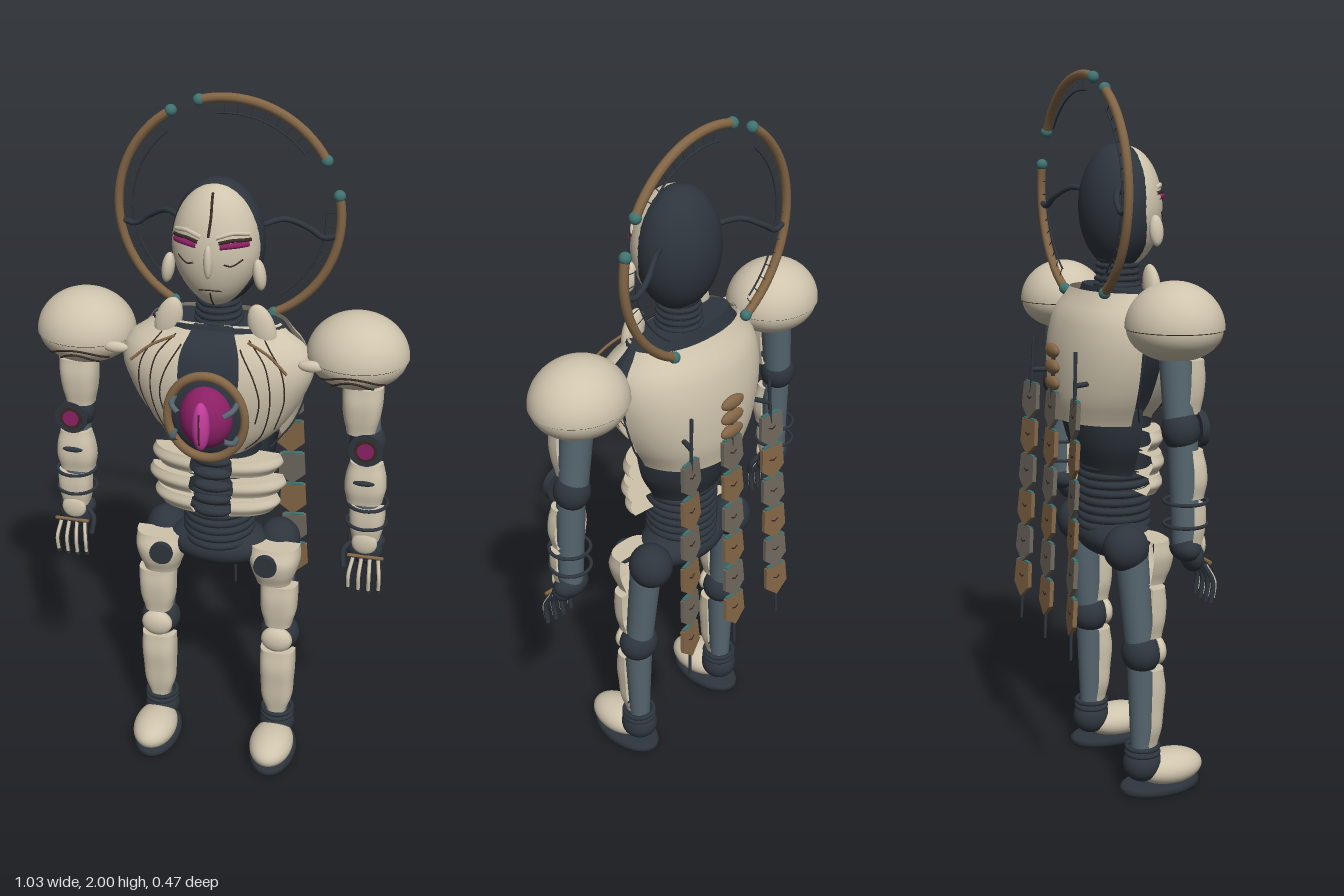
import * as THREE from 'three';

const mat = (name, color, side = THREE.FrontSide) => {
  const m = new THREE.MeshStandardMaterial({ color, side });
  m.name = name;
  return m;
};
const ivory = mat('ivory', 0xcfc4ad, THREE.DoubleSide);
const dark = mat('charcoal', 0x2e353d, THREE.DoubleSide);
const steel = mat('steel', 0x56666f);
const bronze = mat('bronze', 0x836646);
const taupe = mat('taupe', 0x6e675c);
const magenta = mat('magenta', 0x8c2065);
const pink = mat('pink', 0xc43c9c);
const teal = mat('teal', 0x3f7270);
const seam = mat('seam', 0x3a2a25);

const V = (x, y, z) => new THREE.Vector3(x, y, z);

function add(parent, name, geo, m, x = 0, y = 0, z = 0) {
  const mesh = new THREE.Mesh(geo, m);
  mesh.name = name;
  mesh.position.set(x, y, z);
  parent.add(mesh);
  return mesh;
}
function ball(parent, name, m, r, p) {
  const mesh = add(parent, name, new THREE.SphereGeometry(1, 32, 20), m, ...p);
  mesh.scale.set(...r);
  return mesh;
}
function tube(parent, name, m, pts, r) {
  const path = new THREE.CatmullRomCurve3(pts.map(p => V(...p)));
  return add(parent, name, new THREE.TubeGeometry(path, 28, r, 8), m);
}
// Line drawn in x and y, laid on a surface given by its z function
function surfaceLine(parent, name, m, pts, r, zAt) {
  const flat = new THREE.SplineCurve(pts.map(p => new THREE.Vector2(...p))).getPoints(24);
  return tube(parent, name, m, flat.map(({ x, y }) => [x, y, zAt(x, y)]), r);
}
// Tapered round bar between two points
function bar(parent, name, m, a, b, ra, rb) {
  const A = V(...a), B = V(...b), dir = B.clone().sub(A);
  const mesh = add(parent, name, new THREE.CylinderGeometry(rb, ra, dir.length(), 20), m);
  mesh.position.copy(A).add(B).multiplyScalar(0.5);
  mesh.quaternion.setFromUnitVectors(V(0, 1, 0), dir.normalize());
  return mesh;
}
// Flat ring around the vertical axis
function hoop(parent, name, m, r, t, p, sz = 1) {
  const mesh = add(parent, name, new THREE.TorusGeometry(r, t, 8, 36), m, ...p);
  mesh.rotation.x = Math.PI / 2;
  mesh.scale.y = sz;
}
// Smooth value along evenly spaced keys
function sample(a, u) {
  const f = THREE.MathUtils.clamp(u, 0, 1) * (a.length - 1), i = Math.min(Math.floor(f), a.length - 2), t = f - i;
  const [p, q, r, s] = [-1, 0, 1, 2].map(k => a[THREE.MathUtils.clamp(i + k, 0, a.length - 1)]);
  return 0.5 * (2 * q + (r - p) * t + (2 * p - 5 * q + 4 * r - s) * t * t + (3 * q - p - 3 * r + s) * t ** 3);
}
// Curved plate: half widths w and depths d along y, swept over an angle range
function shell(parent, name, m, { y0, y1, w, d, n = 2, from = 0, to = Math.PI, cap = true }, p = [0, 0, 0]) {
  const rows = [], R = 16, S = 32, pos = [], idx = [];
  for (let i = 0; i <= R; i++) rows.push([y0 + (y1 - y0) * i / R, sample(w, i / R), sample(d, i / R)]);
  if (cap) {
    rows.unshift([y0, 0, 0], rows[0]);
    rows.push(rows[rows.length - 1], [y1, 0, 0]);
  }
  const pw = v => Math.sign(v) * Math.abs(v) ** (2 / n);
  rows.forEach(([y, a, b], i) => {
    for (let j = 0; j <= S; j++) {
      const t = from + (to - from) * j / S;
      pos.push(a * pw(Math.cos(t)), y, b * pw(Math.sin(t)));
      const k = i * (S + 1) + j;
      if (i < rows.length - 1 && j < S) idx.push(k, k + S + 1, k + 1, k + 1, k + S + 1, k + S + 2);
    }
  });
  const g = new THREE.BufferGeometry();
  g.setAttribute('position', new THREE.Float32BufferAttribute(pos, 3));
  g.setIndex(idx);
  g.computeVertexNormals();
  return add(parent, name, g, m, ...p);
}

function buildHead(g) {
  const FY = 1.64, rx = Y => 0.118 * (Y < 0 ? 1 - 0.22 * Y * Y : 1);
  const faceZ = (x, y) => {
    const Y = (y - FY) / 0.165;
    return 0.022 + 0.1 * Math.sqrt(Math.max(0, 1 - Y * Y - (x / rx(Y)) ** 2));
  };
  ball(g, 'skull', dark, [0.124, 0.17, 0.105], [0, 1.642, 0]);
  const geo = new THREE.SphereGeometry(1, 40, 32, 0, Math.PI);
  const a = geo.attributes.position;
  for (let i = 0; i < a.count; i++) a.setXYZ(i, a.getX(i) * rx(a.getY(i)), a.getY(i) * 0.165, a.getZ(i) * 0.1);
  geo.computeVertexNormals();
  add(g, 'faceMask', geo, ivory, 0, FY, 0.022);
  const line = (name, m, pts, r = 0.0022) => surfaceLine(g, name, m, pts, r, faceZ);
  ball(g, 'nose', ivory, [0.012, 0.045, 0.014], [0, 1.625, 0.12]);
  line('foreheadSeam', seam, [[0, 1.79], [0.004, 1.74], [0, 1.69]], 0.0035);
  line('mouth', seam, [[-0.03, 1.54], [0, 1.543], [0.03, 1.54]]);
  line('chinSeam', seam, [[0, 1.535], [0, 1.51], [0, 1.485]]);
  for (const s of [-1, 1]) {
    line('eye', magenta, [[s * 0.03, 1.667], [s * 0.06, 1.669], [s * 0.095, 1.669]], 0.008);
    line('eyelid', seam, [[s * 0.027, 1.676], [s * 0.06, 1.682], [s * 0.1, 1.678]], 0.005);
    line('brow', ivory, [[s * 0.02, 1.69], [s * 0.06, 1.7], [s * 0.095, 1.693]], 0.006);
    line('cheekSeam', seam, [[s * 0.085, 1.63], [s * 0.06, 1.615], [s * 0.04, 1.62]]);
    ball(g, 'earPod', ivory, [0.017, 0.042, 0.02], [s * 0.122, 1.58, 0.06]).rotation.z = s * 0.15;
    tube(g, 'haloArm', dark, [[s * 0.1, 1.68, -0.03], [s * 0.16, 1.69, -0.07], [s * 0.22, 1.66, -0.1], [s * 0.26, 1.635, -0.105], [s * 0.305, 1.645, -0.105]], 0.008);
  }
  bar(g, 'neck', dark, [0, 1.38, 0], [0, 1.54, 0], 0.052, 0.045);
  for (let i = 0; i < 6; i++) hoop(g, 'neckRing', dark, 0.052 + 0.002 * (5 - i), 0.007, [0, 1.41 + i * 0.018, 0]);
}

function buildHalo(g) {
  const halo = new THREE.Group();
  halo.name = 'halo';
  halo.position.set(0, 1.685, -0.105);
  g.add(halo);
  const at = (r, a) => [r * Math.cos(a), r * Math.sin(a), 0];
  for (const [d0, d1] of [[120.5, 240], [31, 105], [-65, 12.5]]) {
    const a0 = d0 * Math.PI / 180, a1 = d1 * Math.PI / 180;
    const arc = (r, b0, b1) => Array.from({ length: 13 }, (_, i) => at(r, b0 + (b1 - b0) * i / 12));
    tube(halo, 'haloArc', bronze, arc(0.304, a0, a1), 0.0125);
    tube(halo, 'haloInnerWire', dark, arc(0.264, a0 + 0.14, a1 - 0.14), 0.0025);
    for (const a of [a0, a1]) ball(halo, 'haloCap', teal, [0.016, 0.016, 0.016], at(0.304, a));
    for (let a = a0 + 0.16; a < a1 - 0.1; a += 0.13) bar(halo, 'haloTick', dark, at(0.264, a), at(0.293, a), 0.0012, 0.0012);
  }
}

function buildTorso(g) {
  const chest = { y0: 1.05, y1: 1.43, n: 2.4, cap: false, from: 0.08, to: Math.PI - 0.08,
    w: [0.1, 0.17, 0.215, 0.247, 0.267, 0.25, 0.17], d: [0.085, 0.107, 0.122, 0.13, 0.128, 0.108, 0.06] };
  const chestZ = (x, y) => {
    const u = (y - 1.05) / 0.38;
    return sample(chest.d, u) * Math.max(0, 1 - Math.abs(x / sample(chest.w, u)) ** 2.4) ** (1 / 2.4);
  };
  shell(g, 'chestPlate', ivory, chest);
  shell(g, 'sternum', dark, { ...chest, y0: 1.24, w: chest.w.slice(3), d: chest.d.slice(3).map(v => v + 0.004),
    from: Math.PI / 2 - 0.25, to: Math.PI / 2 + 0.25 });
  shell(g, 'backPlate', ivory, { y0: 1.06, y1: 1.42, n: 2.2, cap: false, from: Math.PI + 0.18, to: 2 * Math.PI - 0.18,
    w: [0.175, 0.208, 0.232, 0.246, 0.25, 0.235, 0.19], d: [0.172, 0.184, 0.187, 0.185, 0.176, 0.157, 0.115] });
  shell(g, 'torsoCore', dark, { y0: 0.9, y1: 1.425, n: 2.2, to: 2 * Math.PI,
    w: [0.1, 0.115, 0.125, 0.175, 0.225, 0.24, 0.18], d: [0.085, 0.085, 0.085, 0.095, 0.1, 0.095, 0.07] });
  shell(g, 'lowerBack', dark, { y0: 0.89, y1: 1.1, from: Math.PI, to: 2 * Math.PI, w: [0.1, 0.15, 0.17], d: [0.1, 0.14, 0.165] });
  for (const s of [-1, 1]) {
    const line = pts => surfaceLine(g, 'chestSeam', seam, pts.map(([x, y]) => [s * x, y]), 0.002, chestZ);
    line([[0.1, 1.4], [0.15, 1.34], [0.165, 1.24], [0.14, 1.13], [0.09, 1.07]]);
    line([[0.14, 1.4], [0.19, 1.33], [0.2, 1.24], [0.17, 1.14]]);
    line([[0.08, 1.38], [0.12, 1.31], [0.137, 1.24], [0.125, 1.17]]);
    tube(g, 'collarTrim', bronze, [[s * 0.1, 1.4, 0.09], [s * 0.16, 1.375, 0.108], [s * 0.213, 1.335, 0.128]], 0.004);
    tube(g, 'sideCable', dark, [[s * 0.255, 1.33, -0.02], [s * 0.24, 1.22, -0.035], [s * 0.205, 1.12, -0.03], [s * 0.15, 1.05, 0]], 0.0025);
    ball(g, 'collarFin', ivory, [0.036, 0.068, 0.022], [s * 0.128, 1.425, 0.045]).rotation.z = s * 0.3;
    ball(g, 'clavicle', ivory, [0.035, 0.016, 0.013], [s * 0.268, 1.345, 0.08]);
    // Rib plates
    [[0.985, 1.04, 0.19], [0.92, 0.975, 0.2], [0.86, 0.912, 0.185]].forEach(([y0, y1, w]) => {
      const [a, b] = s > 0 ? [0.12, 1.3] : [Math.PI - 1.3, Math.PI - 0.12];
      shell(g, 'ribPlate', ivory, { y0, y1, n: 2.3, from: a, to: b, w: [w - 0.02, w, w - 0.01], d: [0.09, 0.102, 0.095] });
    });
  }
  // Ribbed waist and belly
  bar(g, 'waist', dark, [0, 0.72, -0.01], [0, 0.93, -0.01], 0.088, 0.088);
  for (let i = 0; i < 8; i++) hoop(g, 'waistRing', dark, 0.094, 0.011, [0, 0.75 + i * 0.025, -0.01]);
  for (let i = 0; i < 5; i++) ball(g, 'bellySegment', dark, [0.055, 0.02, 0.03], [0, 0.87 + i * 0.04, 0.075]);
  ball(g, 'pelvis', dark, [0.155, 0.066, 0.1], [0, 0.72, -0.015]);

  // Chest core
  const core = new THREE.Group();
  core.name = 'core';
  core.position.set(0, 1.197, 0);
  g.add(core);
  ball(core, 'coreSocket', dark, [0.108, 0.122, 0.03], [0, 0, 0.125]);
  const ring = add(core, 'coreRing', new THREE.TorusGeometry(0.107, 0.012, 10, 48), bronze, 0, 0, 0.15);
  ring.scale.y = 1.13;
  ball(core, 'coreGem', magenta, [0.073, 0.09, 0.065], [0, 0, 0.142]);
  ball(core, 'coreRidge', pink, [0.024, 0.07, 0.026], [0, 0, 0.205]);
  tube(core, 'coreSlit', seam, [[0, 0.045, 0.224], [0, 0, 0.23], [0, -0.045, 0.224]], 0.003);
  for (const a of [0.5, 2.64, 3.64, 5.78]) {
    const c = Math.cos(a), s = Math.sin(a);
    tube(core, 'coreClaw', steel, [[0.1 * c, 0.11 * s, 0.145], [0.094 * c, 0.1 * s, 0.19], [0.07 * c, 0.075 * s, 0.208]], 0.008);
  }
}

function buildArm(g, s) {
  const arm = new THREE.Group();
  arm.name = s > 0 ? 'leftArm' : 'rightArm';
  g.add(arm);
  const X = s * 0.378;
  const half = (name, r, start) => {
    const geo = new THREE.SphereGeometry(1, 40, 16, 0, Math.PI * 2, start, Math.PI / 2);
    add(arm, name, geo, ivory, X, 1.35, -0.01).scale.set(...r);
  };
  half('shoulderDome', [0.138, 0.12, 0.126], 0);
  half('shoulderCup', [0.134, 0.085, 0.122], Math.PI / 2);
  hoop(arm, 'shoulderSeam', seam, 0.1345, 0.0015, [X, 1.349, -0.01], 0.915);
  const cupZ = (x, y) => -0.007 + 0.122 * Math.sqrt(Math.max(0, 1 - ((x - X) / 0.134) ** 2 - ((y - 1.35) / 0.085) ** 2));
  for (const [w, y] of [[0.085, 1.305], [0.055, 1.29]])
    surfaceLine(arm, 'shoulderTrim', seam, [-1, -0.5, 0, 0.5, 1].map(k => [X + k * w, y + 0.03 * (1 - k * k)]), 0.0028, cupZ);

  bar(arm, 'upperArm', steel, [s * 0.39, 1.32, -0.015], [s * 0.415, 1.1, -0.012], 0.045, 0.04);
  shell(arm, 'upperArmPlate', ivory, { y0: 1.135, y1: 1.275, w: [0.04, 0.05, 0.055, 0.055], d: [0.045, 0.052, 0.055, 0.05], n: 3 }, [s * 0.4, 0, 0]);
  ball(arm, 'elbow', dark, [0.05, 0.056, 0.05], [s * 0.418, 1.095, -0.01]);
  const disc = (name, m, r, z) => { add(arm, name, new THREE.CylinderGeometry(r, r, 0.02, 28), m, s * 0.42, 1.095, z).rotation.x = Math.PI / 2; };
  disc('elbowRim', dark, 0.048, 0.038);
  disc('elbowBezel', seam, 0.033, 0.041);
  disc('elbowLens', magenta, 0.023, 0.044);
  bar(arm, 'forearm', steel, [s * 0.418, 1.09, -0.005], [s * 0.43, 0.79, 0], 0.04, 0.034);
  shell(arm, 'forearmUpperPlate', ivory, { y0: 0.92, y1: 1.045, w: [0.05, 0.058, 0.055, 0.045], d: [0.045, 0.052, 0.05, 0.042], n: 3 }, [s * 0.42, 0, 0]);
  shell(arm, 'forearmLowerPlate', ivory, { y0: 0.8, y1: 0.905, w: [0.04, 0.047, 0.05, 0.05], d: [0.04, 0.045, 0.047, 0.045], n: 3 }, [s * 0.43, 0, 0]);
  for (const y of [0.91, 0.85]) hoop(arm, 'forearmRing', dark, 0.056, 0.005, [s * 0.428, y, 0]);
  ball(arm, 'forearmInset', dark, [0.03, 0.008, 0.008], [s * 0.42, 0.995, 0.05]);

  // Hand
  ball(arm, 'wrist', dark, [0.055, 0.035, 0.038], [s * 0.43, 0.785, 0]);
  ball(arm, 'palm', dark, [0.05, 0.045, 0.026], [s * 0.43, 0.765, 0.018]);
  ball(arm, 'handPlate', ivory, [0.036, 0.036, 0.014], [s * 0.43, 0.795, 0.036]);
  bar(arm, 'knuckleBar', bronze, [s * 0.385, 0.755, 0.043], [s * 0.487, 0.755, 0.043], 0.005, 0.005);
  for (let i = 0; i < 4; i++) {
    const x = 0.4 + i * 0.024, fan = (i - 1.5) * 0.005, tip = 0.638 + Math.abs(i - 1.5) * 0.005;
    tube(arm, 'finger', dark, [[s * x, 0.75, 0.03], [s * (x + fan), 0.7, 0.055], [s * (x + fan), tip, 0.05]], 0.007);
    tube(arm, 'fingerPlate', ivory, [[s * x, 0.745, 0.038], [s * (x + fan), 0.7, 0.06], [s * (x + fan), tip + 0.012, 0.056]], 0.0055);
  }
  tube(arm, 'thumb', dark, [[s * 0.395, 0.79, 0.02], [s * 0.372, 0.765, 0.035], [s * 0.375, 0.72, 0.05]], 0.008);
}

function buildLeg(g, s) {
  const leg = new THREE.Group();
  leg.name = s > 0 ? 'leftLeg' : 'rightLeg';
  g.add(leg);
  const X = s * 0.185;
  ball(leg, 'hipJoint', dark, [0.062, 0.066, 0.064], [s * 0.17, 0.72, -0.05]);
  shell(leg, 'hipPlate', ivory, { y0: 0.62, y1: 0.745, w: [0.052, 0.066, 0.075, 0.072], d: [0.06, 0.075, 0.08, 0.065], n: 2.8 }, [s * 0.17, 0, 0]);
  add(leg, 'hipDisc', new THREE.CylinderGeometry(0.034, 0.034, 0.03, 24), dark, s * 0.155, 0.7, 0.07).rotation.x = Math.PI / 2;
  bar(leg, 'thigh', steel, [s * 0.175, 0.7, -0.035], [X, 0.42, -0.012], 0.046, 0.04);
  shell(leg, 'thighPlate', ivory, { y0: 0.465, y1: 0.612, w: [0.04, 0.052, 0.055, 0.055], d: [0.045, 0.052, 0.055, 0.05], n: 3.2 }, [X, 0, 0]);
  ball(leg, 'knee', dark, [0.06, 0.058, 0.055], [X, 0.418, -0.01]);
  ball(leg, 'kneeCap', ivory, [0.047, 0.042, 0.025], [X, 0.42, 0.035]);
  bar(leg, 'shin', steel, [X, 0.4, -0.008], [X, 0.11, -0.008], 0.042, 0.03);
  shell(leg, 'shinPlate', ivory, { y0: 0.135, y1: 0.375, w: [0.028, 0.046, 0.05, 0.053, 0.052], d: [0.035, 0.045, 0.05, 0.055, 0.047], n: 3.2 }, [X, 0, 0]);
  for (const y of [0.12, 0.138]) hoop(leg, 'ankleRing', dark, 0.045, 0.007, [X, y, -0.005]);
  ball(leg, 'heel', dark, [0.054, 0.052, 0.057], [X, 0.085, -0.005]);
  ball(leg, 'foot', ivory, [0.066, 0.05, 0.1], [X, 0.062, 0.08]);
  const profile = [[0, 0], [0.93, 0], [1, 0.01], [0.98, 0.022], [0.9, 0.027], [0, 0.028]].map(p => new THREE.Vector2(...p));
  add(leg, 'sole', new THREE.LatheGeometry(profile, 36), dark, X, 0, 0.05).scale.set(0.07, 1, 0.122);
}

// Hanging chain of pointed plates, the outer ones fanning outward
function buildChain(g, k) {
  const chain = new THREE.Group();
  chain.name = 'backChain';
  g.add(chain);
  const shape = new THREE.Shape([[-0.036, 0.05], [0.036, 0.05], [0.04, -0.02], [0, -0.055], [-0.04, -0.02]].map(p => new THREE.Vector2(...p)));
  const geo = new THREE.ExtrudeGeometry(shape, { depth: 0.012, bevelEnabled: false });
  const at = (y, dz = 0) => [k * (0.155 + (1.28 - y) * 0.045), y, -0.19 - (1.28 - y) * 0.042 + dz];
  for (let i = 0; i < 6; i++) {
    const link = new THREE.Group();
    link.name = 'chainLink';
    link.position.set(...at(1.09 - i * 0.107, -0.006));
    link.rotation.set(0.08, k * 0.16, 0);
    chain.add(link);
    add(link, 'chainPlate', geo, i % 2 ? bronze : taupe);
    add(link, 'chainHinge', new THREE.BoxGeometry(0.06, 0.005, 0.01), teal, 0, 0.052, 0.006);
    for (const s of [-1, 1]) add(link, 'chainMark', new THREE.BoxGeometry(0.014, 0.004, 0.002), seam, s * 0.006, 0.008, 0).rotation.z = s * 0.5;
  }
  bar(chain, 'upperCord', dark, at(1.27), at(1.1), 0.005, 0.005);
  bar(chain, 'tailCord', dark, at(0.56), at(0.43), 0.005, 0.004);
  if (k === 0) for (let i = 0; i < 3; i++) ball(chain, 'spineOval', bronze, [0.042, 0.02, 0.014], [0, 1.255 - i * 0.045, -0.196]);
  else bar(chain, 'chainBracket', dark, [k * 0.13, 1.18, -0.12], at(1.18), 0.007, 0.007);
}

export function createModel() {
  const model = new THREE.Group();
  model.name = 'humanoidRobot';
  buildHead(model);
  buildHalo(model);
  buildTorso(model);
  for (const s of [-1, 1]) {
    buildArm(model, s);
    buildLeg(model, s);
  }
  for (const k of [-1, 0, 1]) buildChain(model, k);
  return model;
}
